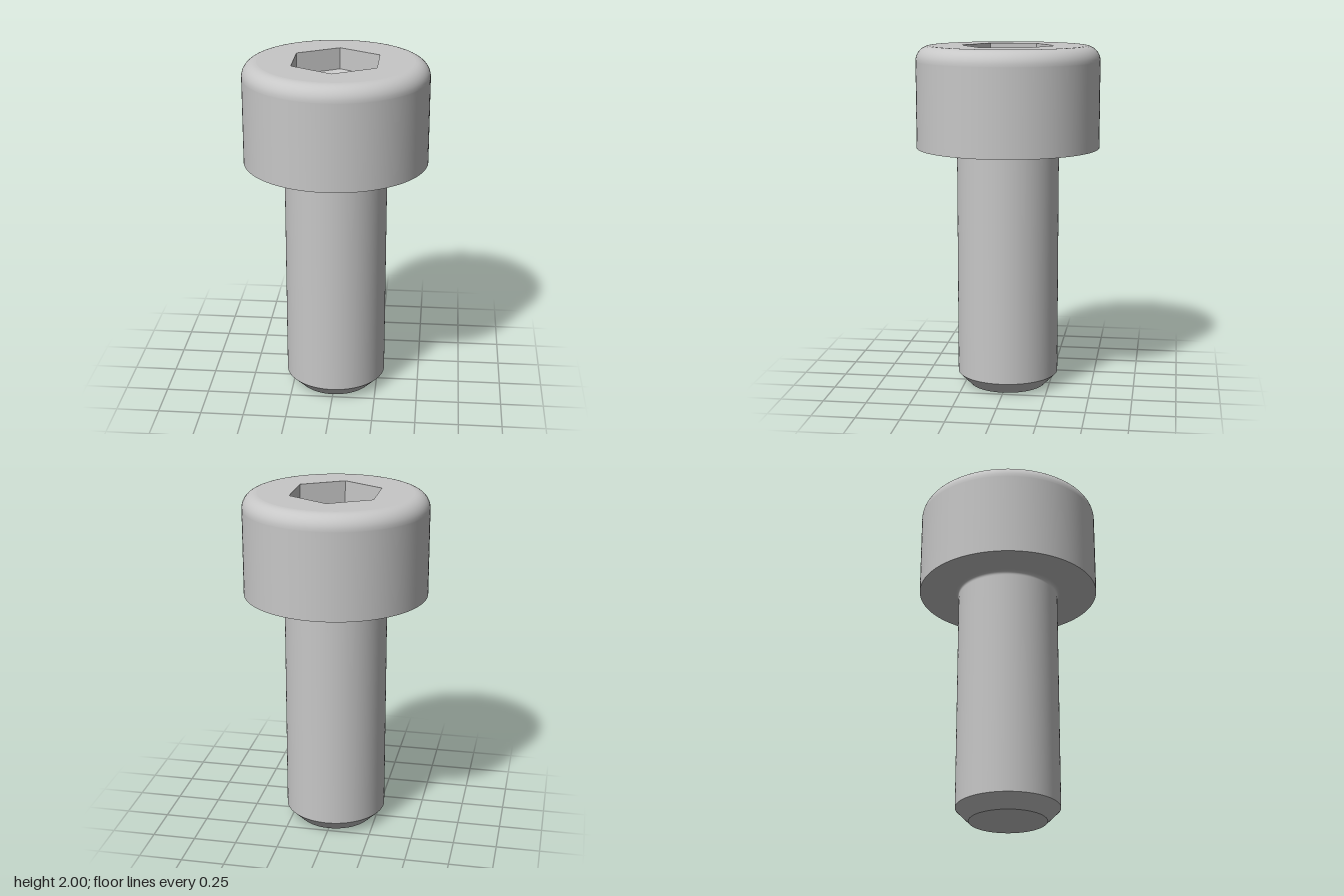
import * as THREE from 'three';

const SEGMENTS = 96;
const HEAD_R = 0.528, HEAD_BOTTOM = 1.415, TOP = 2, ROUND = 0.085;
const SHANK_R = 0.295, TIP_R = 0.22, TIP_H = 0.075, NECK = 0.022;
const HEX_R = 0.273, HEX_FLOOR = 1.875, HEX_APEX = 1.715;

// Points along a quarter arc in the profile plane (radius, height)
function arc(cx, cy, r, from, to, steps = 10) {
  return Array.from({ length: steps + 1 }, (_, i) => {
    const a = from + (to - from) * i / steps;
    return [cx + r * Math.cos(a), cy + r * Math.sin(a)];
  });
}

export function createModel() {
  const group = new THREE.Group();
  const steel = new THREE.MeshStandardMaterial({ color: 0xc7c7c7 });
  steel.name = 'steel grey';

  function add(name, geometry) {
    const mesh = new THREE.Mesh(geometry, steel);
    mesh.name = name;
    group.add(mesh);
  }
  const turn = (points, sides = SEGMENTS) =>
    new THREE.LatheGeometry(points.map(([r, y]) => new THREE.Vector2(r, y)), sides);

  // Shank: flat end, chamfered tip, plain cylinder flaring into the neck fillet
  add('tipEnd', turn([[0, 0], [TIP_R, 0]]));
  add('tipChamfer', turn([[TIP_R, 0], [SHANK_R, TIP_H]]));
  add('shank', turn([
    [SHANK_R, TIP_H], [SHANK_R, HEAD_BOTTOM - NECK - 0.005],
    ...arc(SHANK_R + NECK, HEAD_BOTTOM - NECK, NECK, Math.PI, Math.PI / 2, 6),
  ]));

  // Head: flat underside, straight side and rounded upper rim
  add('headUnderside', turn([[SHANK_R + NECK, HEAD_BOTTOM], [HEAD_R, HEAD_BOTTOM]]));
  add('headSide', turn([
    [HEAD_R, HEAD_BOTTOM], [HEAD_R, TOP - ROUND - 0.005],
    ...arc(HEAD_R - ROUND, TOP - ROUND, ROUND, 0, Math.PI / 2),
  ]));

  // Flat top with a hexagonal opening
  const disc = new THREE.Shape().absarc(0, 0, HEAD_R - ROUND, 0, Math.PI * 2, false);
  const hexCorners = Array.from({ length: 6 }, (_, i) => new THREE.Vector2(
    HEX_R * Math.sin(i * Math.PI / 3), HEX_R * Math.cos(i * Math.PI / 3)));
  disc.holes.push(new THREE.Path(hexCorners));
  add('headTop', new THREE.ShapeGeometry(disc, SEGMENTS)
    .rotateX(-Math.PI / 2).translate(0, TOP, 0));

  // Hex socket: six flat walls over a drilled conical floor
  const walls = turn([[HEX_R, TOP], [HEX_R, HEX_FLOOR]], 6).toNonIndexed();
  walls.computeVertexNormals();
  add('socketWalls', walls);
  add('socketFloor', turn([[HEX_R, HEX_FLOOR], [0, HEX_APEX]], 6));

  return group;
}
